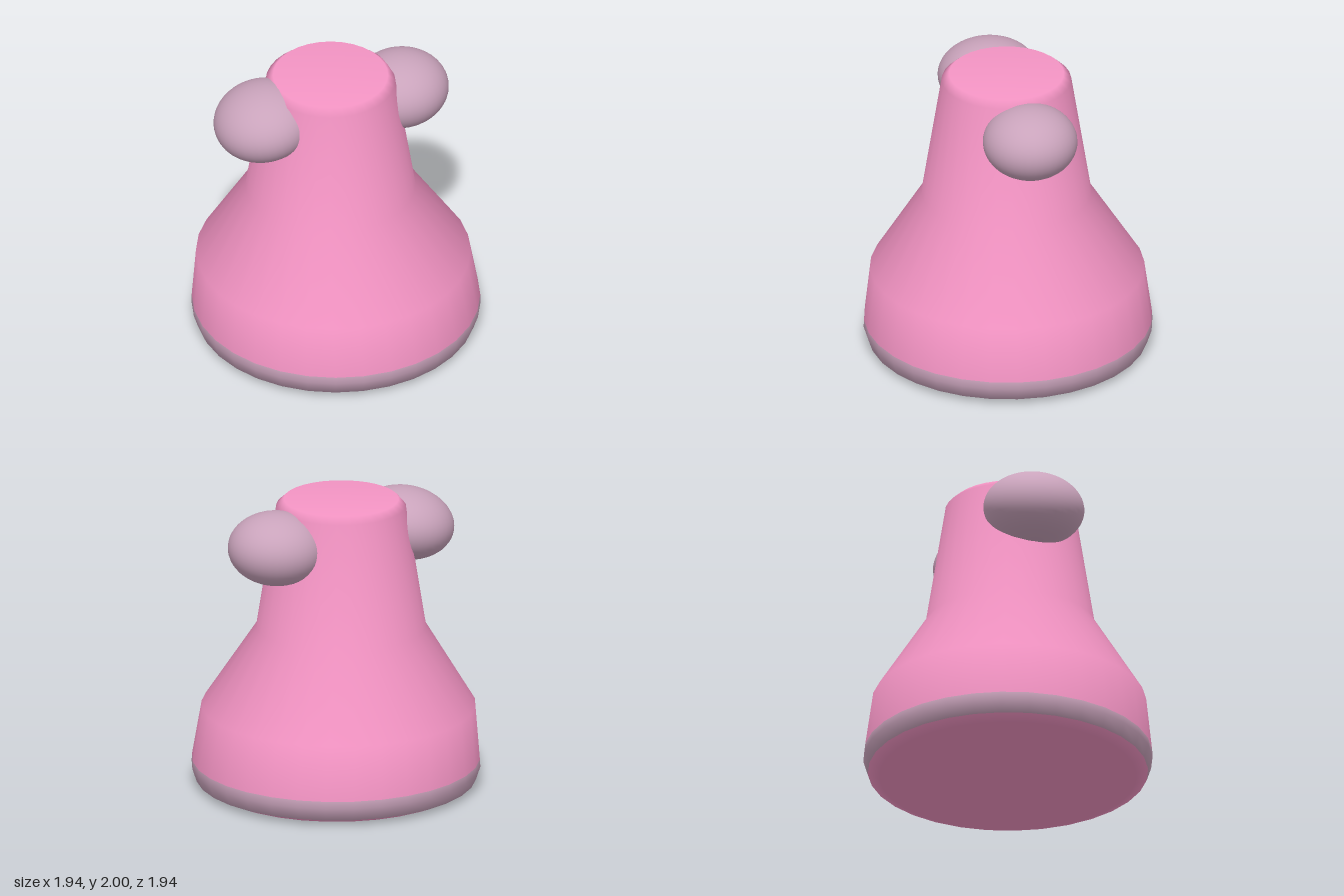
import * as THREE from 'three';

const SIDES = 32;
const PINK = new THREE.MeshStandardMaterial({ color: 0xf595c5 });
const MAUVE = new THREE.MeshStandardMaterial({ color: 0xc9a3bb });

// Radius and height of the whole body, from the bottom centre to the top centre
const PROFILE = [
  [0, 0], [0.86, 0.005], [0.94, 0.04], [0.97, 0.13], [0.967, 0.18], [0.92, 0.55],
  [0.57, 1.1], [0.435, 1.95], [0.385, 1.995], [0, 1.995],
];

// The body leans slightly to -x as it narrows
function lean(y) {
  if (y < 0.18) return 0;
  if (y < 0.55) return -0.02 * (y - 0.18) / 0.37;
  return y < 1.1 ? -0.02 - 0.02 * (y - 0.55) / 0.55 : -0.04;
}

function bodyGeometry() {
  const geo = new THREE.LatheGeometry(PROFILE.map(([r, y]) => new THREE.Vector2(r, y)), SIDES);
  const pos = geo.attributes.position;
  for (let i = 0; i < pos.count; i++) pos.setX(i, pos.getX(i) + lean(pos.getY(i)));
  return geo;
}

// Keeps the profile bands first..last-1, sharing the smooth normals of the full body
function bands(body, first, last) {
  const geo = body.clone();
  const stride = PROFILE.length;
  const index = [];
  for (let i = 0; i < SIDES; i++) {
    for (let j = first; j < last; j++) {
      const a = i * stride + j, b = a + stride;
      index.push(a, b, a + 1, b + 1, a + 1, b);
    }
  }
  geo.setIndex(index);
  return geo;
}

function addMesh(group, name, geometry, material) {
  const mesh = new THREE.Mesh(geometry, material);
  mesh.name = name;
  group.add(mesh);
  return mesh;
}

export function createModel() {
  const model = new THREE.Group();
  model.name = 'model';

  // Body, with a contrasting band round the foot
  const body = bodyGeometry();
  addMesh(model, 'underside', bands(body, 0, 2), PINK);
  addMesh(model, 'footBand', bands(body, 2, 4), MAUVE);
  addMesh(model, 'body', bands(body, 4, PROFILE.length - 1), PINK);

  // Rounded side lobes, each set partly into the neck
  const lobes = [
    { name: 'rightLobe', at: [-0.525, 1.75, -0.005], radii: [0.335, 0.245, 0.34], tilt: 0.18 },
    { name: 'leftLobe', at: [0.475, 1.737, -0.025], radii: [0.328, 0.248, 0.317], tilt: 0.05 },
  ];
  for (const { name, at, radii, tilt } of lobes) {
    const lobe = addMesh(model, name, new THREE.SphereGeometry(1, 40, 28), MAUVE);
    lobe.position.set(...at);
    lobe.scale.set(...radii);
    lobe.rotation.z = tilt;
  }
  return model;
}
